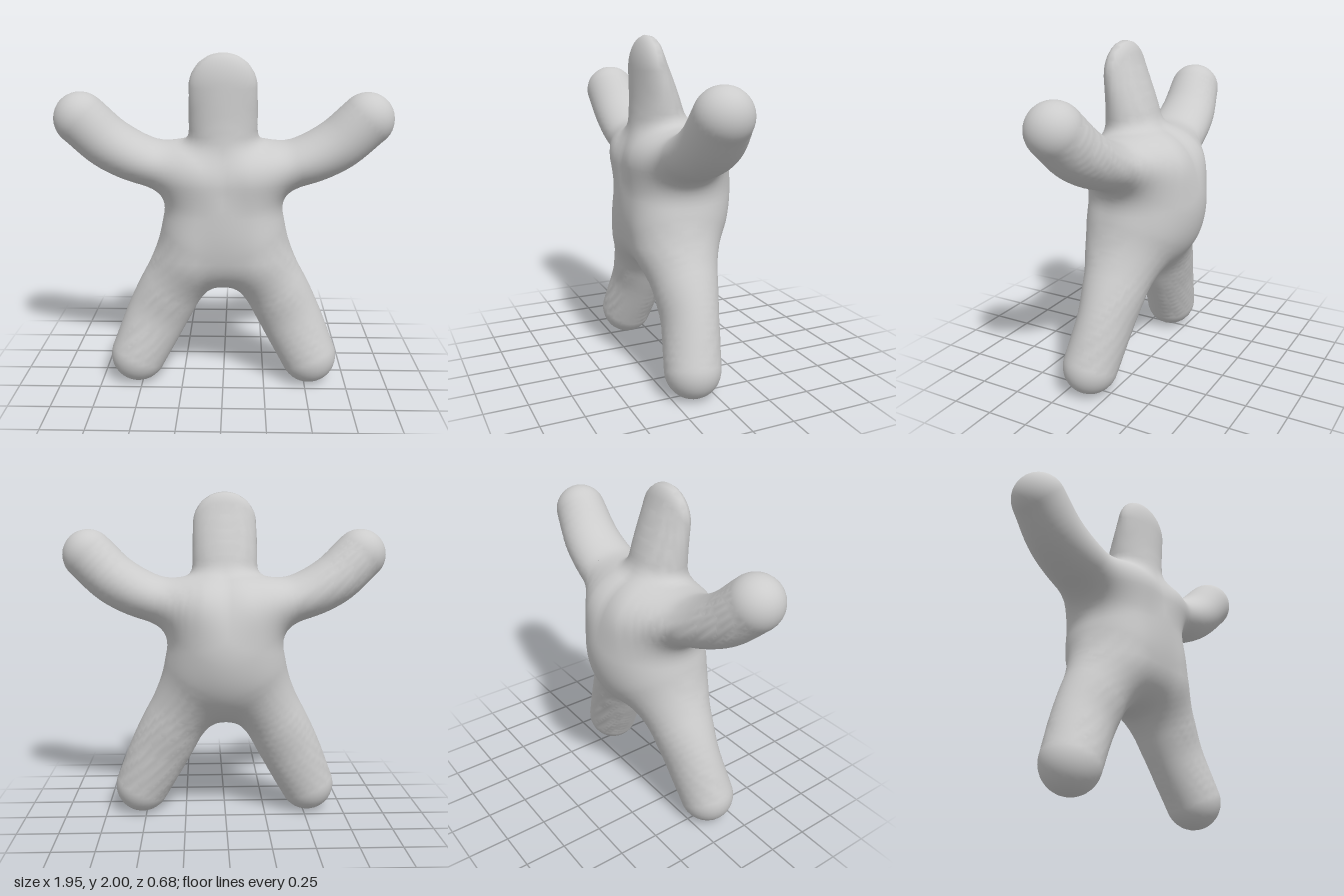
import * as THREE from 'three';

// Smooth limb through joints given as [x, y, z, radius across, depth radius]
function makeLimb(joints, steps = 20) {
  const path = new THREE.CatmullRomCurve3(joints.map((j) => new THREE.Vector3(j[0], j[1], j[2])));
  const radii = new THREE.CatmullRomCurve3(joints.map((j) => new THREE.Vector3(j[3], j[4], 0)));
  return Array.from({ length: steps + 1 }, (_, i) => {
    const p = path.getPoint(i / steps), r = radii.getPoint(i / steps);
    return [p.x, p.y, p.z, r.x, r.y];
  });
}

const HEAD = makeLimb([[0, 1.3, 0.1, 0.19, 0.2], [0, 1.55, 0.12, 0.197, 0.15], [0, 1.806, 0.172, 0.194, 0.088]]);
const ARM = makeLimb([[0.15, 1.33, 0.03, 0.13, 0.225], [0.43, 1.365, 0.065, 0.14, 0.2],
  [0.65, 1.468, 0.08, 0.152, 0.18], [0.82, 1.622, 0.105, 0.155, 0.157]]);
const LEG = makeLimb([[0.18, 0.88, 0.05, 0.165, 0.2], [0.285, 0.66, 0.07, 0.187, 0.2],
  [0.405, 0.42, 0.085, 0.187, 0.165], [0.525, 0.166, 0.122, 0.168, 0.163]]);

const lerp = THREE.MathUtils.lerp;

// Distance to a tapered oval limb
function limb(joints, x, y, z) {
  let best = Infinity;
  for (let i = 0; i + 1 < joints.length; i++) {
    const a = joints[i], b = joints[i + 1];
    const ex = b[0] - a[0], ey = b[1] - a[1];
    const t = THREE.MathUtils.clamp(((x - a[0]) * ex + (y - a[1]) * ey) / (ex * ex + ey * ey), 0, 1);
    const r = lerp(a[3], b[3], t), s = lerp(a[4], b[4], t) / r;
    const dx = x - a[0] - ex * t, dy = y - a[1] - ey * t, dz = (z - lerp(a[2], b[2], t)) / s;
    best = Math.min(best, (Math.sqrt(dx * dx + dy * dy + dz * dz) - r) * Math.min(s, 1));
  }
  return best;
}

// Smooth union of two distances
function blend(a, b, k) {
  const h = Math.max(k - Math.abs(a - b), 0) / k;
  return Math.min(a, b) - h * h * k / 4;
}

// Flat-fronted chest and belly
function chest(x, y, z) {
  const r = 0.16;
  const qx = Math.abs(x) - 0.3 + r, qy = Math.abs(y - 1.04) - 0.38 + r, qz = Math.abs(z - 0.11) - 0.2 + r;
  return Math.hypot(Math.max(qx, 0), Math.max(qy, 0), Math.max(qz, 0)) +
    Math.min(Math.max(qx, qy, qz), 0) - r;
}

// Domed back
function back(x, y, z) {
  return (Math.hypot(x / 0.33, (y - 1.08) / 0.42, z / 0.334) - 1) * 0.334;
}

// Whole figure, mirrored across x
function field(px, y, z) {
  const x = Math.abs(px);
  const torso = blend(chest(x, y, z), back(x, y, z), 0.1);
  // the two legs melt together at the crotch
  const legs = blend(limb(LEG, x, y, z), limb(LEG, -x, y, z), 0.18);
  const lower = blend(torso, legs, 0.17);
  return blend(blend(lower, limb(ARM, x, y, z), 0.17), limb(HEAD, x, y, z), 0.06);
}

function gradient(p) {
  const e = 0.008;
  return new THREE.Vector3(
    field(p.x + e, p.y, p.z) - field(p.x - e, p.y, p.z),
    field(p.x, p.y + e, p.z) - field(p.x, p.y - e, p.z),
    field(p.x, p.y, p.z + e) - field(p.x, p.y, p.z - e)).divideScalar(2 * e);
}

// Skin the field: one vertex per crossed grid cell, one quad per crossed grid edge
function skin() {
  const h = 0.03, n = [72, 74, 30], min = [-35.5 * h, -0.1, -14.5 * h];
  const stride = [1, n[0], n[0] * n[1]];
  const values = new Float32Array(n[0] * n[1] * n[2]).fill(1);
  const eachNode = (visit) => {
    for (let k = 1; k < n[2] - 1; k++)
      for (let j = 1; j < n[1] - 1; j++)
        for (let i = 1; i < n[0] - 1; i++) visit(i, j, k, i + j * stride[1] + k * stride[2]);
  };
  eachNode((i, j, k, id) => { values[id] = field(min[0] + i * h, min[1] + j * h, min[2] + k * h); });

  const position = [], normal = [], index = [], vertexOf = new Map();
  eachNode((i, j, k, id) => {
    let inside = 0;
    for (let c = 0; c < 8; c++)
      if (values[id + (c & 1) + ((c >> 1) & 1) * stride[1] + (c >> 2) * stride[2]] < 0) inside++;
    if (inside === 0 || inside === 8) return;
    const p = new THREE.Vector3(min[0] + (i + 0.5) * h, min[1] + (j + 0.5) * h, min[2] + (k + 0.5) * h);
    for (let s = 0; s < 5; s++) {
      const g = gradient(p);
      p.addScaledVector(g, -field(p.x, p.y, p.z) / Math.max(g.lengthSq(), 0.1));
    }
    vertexOf.set(id, position.length / 3);
    position.push(p.x, p.y, p.z);
    normal.push(...gradient(p).normalize().toArray());
  });
  eachNode((i, j, k, id) => {
    for (let a = 0; a < 3; a++) {
      const low = values[id] < 0, high = values[id + stride[a]] < 0;
      if (low === high) continue;
      const b = stride[(a + 1) % 3], c = stride[(a + 2) % 3];
      const q = [id, id - b, id - b - c, id - c].map((v) => vertexOf.get(v));
      if (!low) q.reverse();
      index.push(q[0], q[1], q[2], q[0], q[2], q[3]);
    }
  });

  const geometry = new THREE.BufferGeometry();
  geometry.setAttribute('position', new THREE.Float32BufferAttribute(position, 3));
  geometry.setAttribute('normal', new THREE.Float32BufferAttribute(normal, 3));
  geometry.setIndex(index);
  return geometry;
}

export function createModel() {
  const body = new THREE.Mesh(skin(), new THREE.MeshStandardMaterial({ color: 0xcccccc }));
  body.name = 'body';
  const model = new THREE.Group();
  model.name = 'starShapedFigure';
  model.add(body);
  return model;
}
